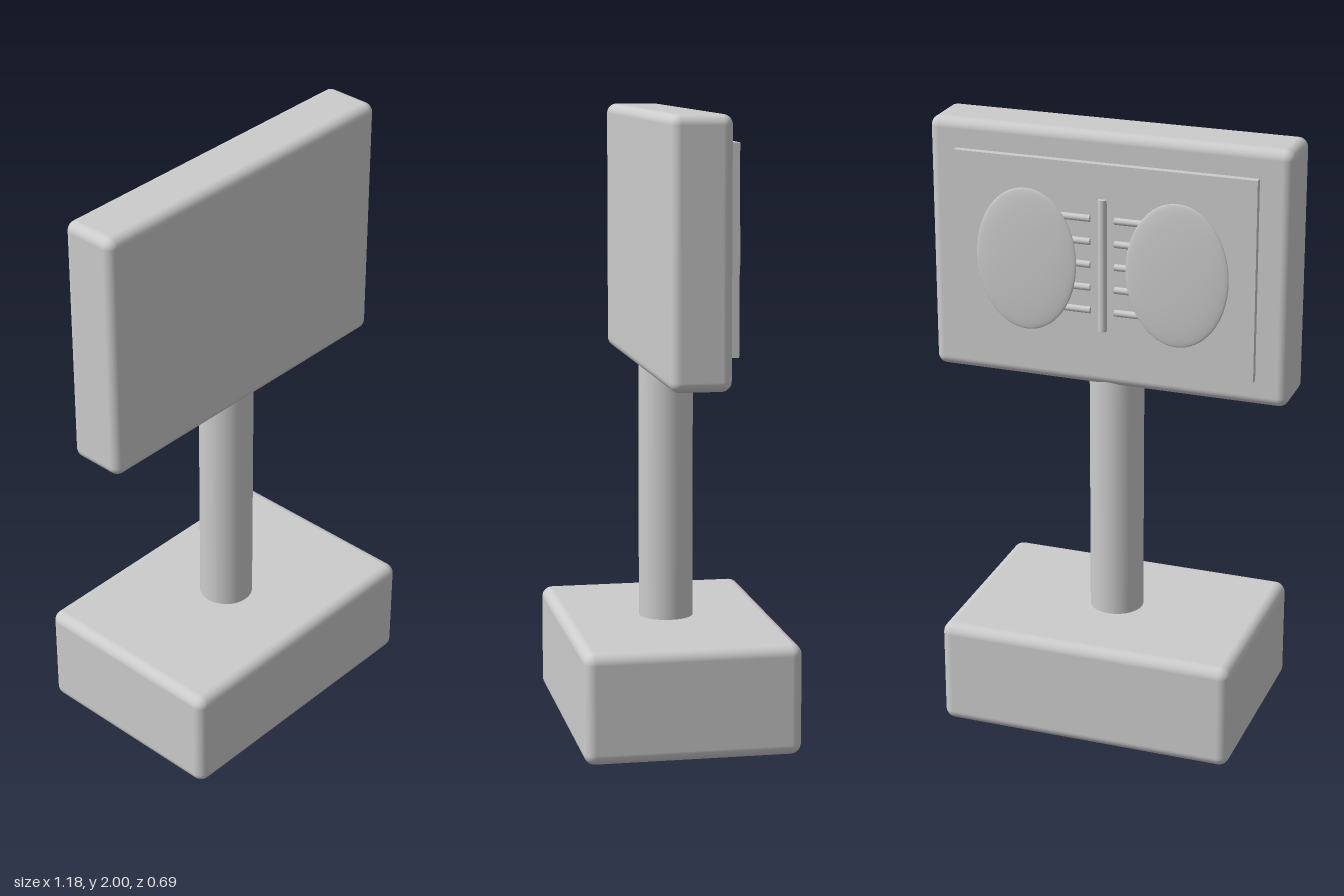
import * as THREE from 'three';
import { RoundedBoxGeometry } from 'three/addons/geometries/RoundedBoxGeometry.js';

export function createModel() {
  const model = new THREE.Group();
  model.name = 'pedestalDisplay';

  const grey = new THREE.MeshStandardMaterial({ color: 0xcccccc });
  grey.name = 'plain grey';

  const add = (name, geometry, x, y, z, parent = model) => {
    const mesh = new THREE.Mesh(geometry, grey);
    mesh.name = name;
    mesh.position.set(x, y, z);
    parent.add(mesh);
    return mesh;
  };

  // Stand
  add('base', new RoundedBoxGeometry(0.986, 0.355, 0.69, 5, 0.035), 0, 0.1775, 0);
  add('column', new THREE.CylinderGeometry(0.088, 0.088, 0.88, 48), 0, 0.77, 0);

  // Screen housing
  add('screen', new RoundedBoxGeometry(1.18, 0.83, 0.192, 5, 0.032), 0, 1.585, 0);

  // Rear panel, held off the housing by a smaller spacer
  const panelY = 1.588;
  const rear = new THREE.Group();
  rear.name = 'rearPanel';
  rear.position.y = panelY;
  model.add(rear);
  add('spacer', new THREE.BoxGeometry(0.58, 0.57, 0.022), 0, 0, -0.102, rear);
  add('panel', new THREE.BoxGeometry(0.984, 0.65, 0.023), 0, 0, -0.1225, rear);

  // Upright bar between the two discs
  add('centreBar', new THREE.CylinderGeometry(0.014, 0.014, 0.43, 20), 0, 0, -0.136, rear);

  const rodGeometry = new THREE.CylinderGeometry(0.011, 0.011, 0.13, 16).rotateZ(Math.PI / 2);
  const discGeometry = new THREE.SphereGeometry(1, 48, 32).scale(0.166, 0.232, 0.0135);

  for (const side of [-1, 1]) {
    const name = side > 0 ? 'left' : 'right';
    // Flattened oval disc
    add(name + 'Disc', discGeometry, side * 0.247, 0, -0.152, rear);
    // Short rods reaching under the disc
    for (let i = -2; i <= 2; i++) {
      add(name + 'Rod', rodGeometry, side * 0.105, i * 0.075, -0.135, rear);
    }
  }

  return model;
}
